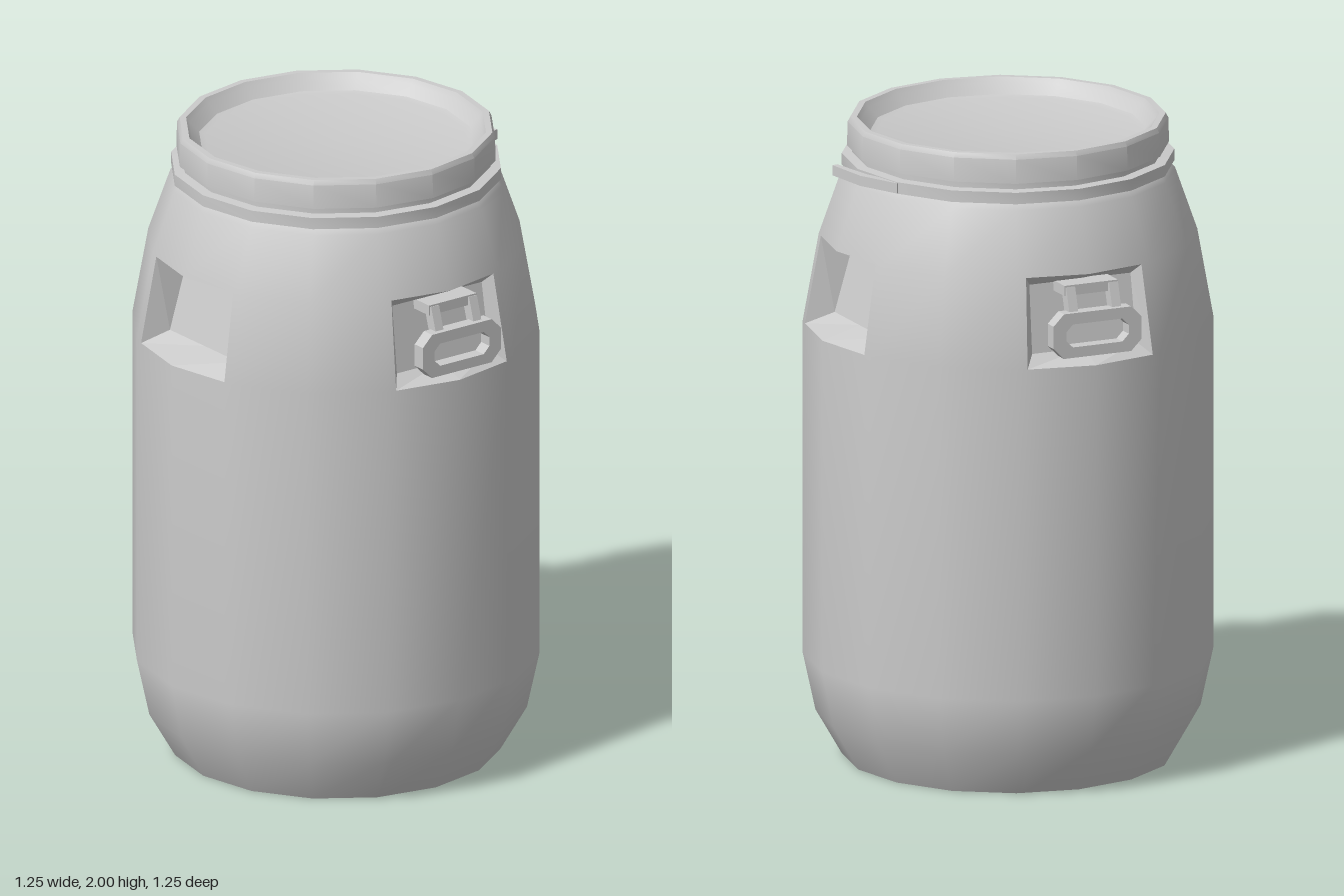
import * as THREE from 'three';
import { toCreasedNormals } from 'three/addons/utils/BufferGeometryUtils.js';

const SIDES = 16;
const STEP = (Math.PI * 2) / SIDES;
const RECESS_ANGLE = THREE.MathUtils.degToRad(49.6); // direction of the first recess, from +z to +x
const PHASE = RECESS_ANGLE - 2 * STEP;
const OPEN = 0.88; // share of each neighbouring side taken by a recess opening

const grey = new THREE.MeshStandardMaterial({ color: 0xcbcbcb });
grey.name = 'grey plastic';

// Barrel wall, bottom to top; the recesses sit between rings 3 and 4
const PROFILE = [[0.505, 0], [0.586, 0.14], [0.625, 0.32], [0.625, 1.36], [0.576, 1.635], [0.508, 1.83], [0.475, 1.855]];
const RECESS_ROW = 3;

function mesh(name, geometry) {
  const m = new THREE.Mesh(geometry, grey);
  m.name = name;
  return m;
}

function lathe(name, points) {
  const g = new THREE.LatheGeometry(points.map(p => new THREE.Vector2(...p)), SIDES, PHASE);
  return mesh(name, toCreasedNormals(g, 0.5));
}

// Point on the 16-sided ring at a fractional column
function ringPoint(r, y, col) {
  const i = Math.floor(col), f = col - i;
  const at = k => new THREE.Vector3(r * Math.sin(PHASE + k * STEP), y, r * Math.cos(PHASE + k * STEP));
  return at(i).lerp(at(i + 1), f);
}

// Smooth wall with four openings left out
function wallGeometry() {
  const cols = [];
  for (let q = 0; q < 4; q++) cols.push(...[0, 1, 2 - OPEN, 2, 2 + OPEN, 3].map(c => c + q * 4));
  cols.push(SIDES);
  const n = cols.length, pos = [], nor = [], idx = [];
  PROFILE.forEach(([r, y], i) => {
    const a = PROFILE[Math.max(i - 1, 0)], b = PROFILE[Math.min(i + 1, PROFILE.length - 1)];
    const slope = new THREE.Vector2(b[1] - a[1], a[0] - b[0]).normalize();
    for (const c of cols) {
      const p = ringPoint(r, y, c), th = PHASE + c * STEP;
      pos.push(p.x, p.y, p.z);
      nor.push(slope.x * Math.sin(th), slope.y, slope.x * Math.cos(th));
    }
  });
  for (let i = 0; i < PROFILE.length - 1; i++) {
    for (let j = 0; j < n - 1; j++) {
      if (i === RECESS_ROW && (j % 6 === 2 || j % 6 === 3)) continue;
      const a = i * n + j;
      idx.push(a, a + 1, a + n + 1, a, a + n + 1, a + n);
    }
  }
  const g = new THREE.BufferGeometry();
  g.setAttribute('position', new THREE.Float32BufferAttribute(pos, 3));
  g.setAttribute('normal', new THREE.Float32BufferAttribute(nor, 3));
  g.setIndex(idx);
  return g;
}

// Pocket facing +z, with its back panel at the given depths
function recessGeometry(bottomZ, topZ) {
  const edge = ([r, y], s) => [
    s * OPEN * r * Math.sin(STEP), y,
    r * (s ? 1 + OPEN * (Math.cos(STEP) - 1) : 1),
  ];
  const low = PROFILE[RECESS_ROW], high = PROFILE[RECESS_ROW + 1];
  const outer = [edge(low, -1), edge(low, 0), edge(low, 1), edge(high, 1), edge(high, 0), edge(high, -1)];
  const inner = [-1, 0, 1].map(s => [s * 0.175, 1.395, bottomZ])
    .concat([1, 0, -1].map(s => [s * 0.17, 1.605, topZ]));
  const pos = [];
  const quad = (a, b, c, d) => pos.push(...a, ...b, ...c, ...a, ...c, ...d);
  for (let i = 0; i < 6; i++) {
    const k = (i + 1) % 6;
    quad(outer[i], outer[k], inner[k], inner[i]);
  }
  quad(inner[0], inner[1], inner[4], inner[5]);
  quad(inner[1], inner[2], inner[3], inner[4]);
  const g = new THREE.BufferGeometry();
  g.setAttribute('position', new THREE.Float32BufferAttribute(pos, 3));
  g.computeVertexNormals();
  return g;
}

// Rectangle with cut corners
function octagon(path, w, y0, y1, c) {
  const pts = [[-w + c, y0], [w - c, y0], [w, y0 + c], [w, y1 - c], [w - c, y1], [-w + c, y1], [-w, y1 - c], [-w, y0 + c]];
  path.setFromPoints(pts.map(p => new THREE.Vector2(...p)));
  return path;
}

function box(name, w, h, d, x, y, z) {
  const m = mesh(name, new THREE.BoxGeometry(w, h, d));
  m.position.set(x, y, z);
  return m;
}

function createHandle() {
  const handle = new THREE.Group();
  handle.name = 'handle';
  // Grip loop
  const shape = octagon(new THREE.Shape(), 0.148, 1.395, 1.535, 0.035);
  shape.holes.push(octagon(new THREE.Path(), 0.105, 1.428, 1.5, 0.022));
  const grip = mesh('handleGrip', new THREE.ExtrudeGeometry(shape, { depth: 0.042, bevelEnabled: false }));
  grip.position.z = 0.594;
  handle.add(grip);
  // Hinge arms and bar leading back to the recess panel
  for (const s of [-1, 1]) {
    const arm = box('handleArm', 0.03, 0.085, 0.035, s * 0.072, 1.562, 0.592);
    arm.rotation.x = -0.3;
    handle.add(arm);
  }
  handle.add(box('hingeBar', 0.18, 0.032, 0.08, 0, 1.595, 0.55));
  return handle;
}

// Flat lever swinging away from the clamp ring
function createLever() {
  const s = new THREE.Shape([[0.15, 0.488], [0.29, 0.45], [0.42, 0.368], [0.41, 0.352], [0.28, 0.425], [0.15, 0.465]]
    .map(p => new THREE.Vector2(...p)));
  const lever = mesh('clampLever', new THREE.ExtrudeGeometry(s, { depth: 0.032, bevelEnabled: false }));
  lever.rotation.x = -Math.PI / 2;
  lever.position.y = 1.852;
  return lever;
}

export function createModel() {
  const barrel = new THREE.Group();
  barrel.name = 'barrel';
  barrel.add(mesh('wall', wallGeometry()));
  barrel.add(lathe('base', [[0, 0], [0.505, 0]]));

  // Four recesses: alternating handle mounts and deeper hand holds
  for (let k = 0; k < 4; k++) {
    const side = new THREE.Group();
    const mount = k % 2 === 0;
    side.name = mount ? 'handleMount' : 'handHold';
    side.add(mesh('recess', mount ? recessGeometry(0.54, 0.51) : recessGeometry(0.5, 0.44)));
    if (mount) side.add(createHandle());
    side.rotation.y = RECESS_ANGLE + k * Math.PI / 2;
    barrel.add(side);
  }

  // Clamp ring, lever and sunken lid
  barrel.add(lathe('clampRing', [[0.46, 1.85], [0.506, 1.85], [0.506, 1.886], [0.46, 1.89]]));
  barrel.add(createLever());
  barrel.add(lathe('lid', [
    [0.474, 1.88], [0.474, 1.906], [0.49, 1.91], [0.488, 1.985], [0.48, 2], [0.46, 2],
    [0.45, 1.985], [0.42, 1.955], [0.402, 1.95], [0, 1.95],
  ]));
  return barrel;
}
